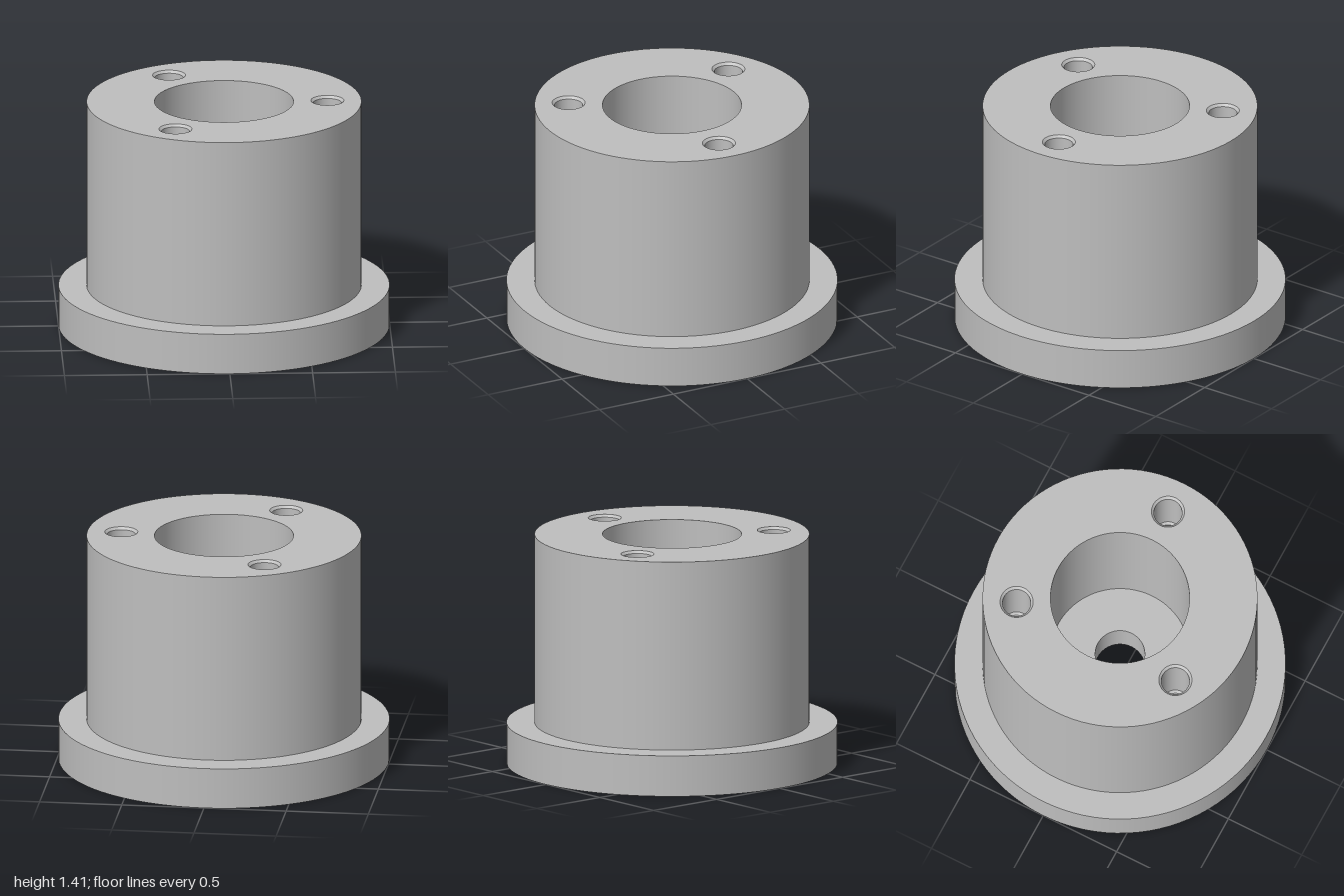
import * as THREE from 'three';
import { mergeGeometries } from 'three/addons/utils/BufferGeometryUtils.js';

const SEG = 96;
const H = 1.41, FLANGE_H = 0.25, FLANGE_R = 1, BODY_R = 0.83, BORE_R = 0.42, RECESS_R = 0.33;
const BOLT_R = 0.625;

// Revolved profile with a hard edge at every point
function turned(points) {
  const bands = points.slice(1).map((p, i) => new THREE.LatheGeometry(
    [new THREE.Vector2(...points[i]), new THREE.Vector2(...p)], SEG));
  return mergeGeometries(bands);
}

// Flat disc pierced by circular holes given as [x, z, radius]
function piercedDisc(radius, holes, y, facing) {
  const shape = new THREE.Shape().absarc(0, 0, radius, 0, Math.PI * 2, false);
  for (const [x, z, r] of holes) {
    shape.holes.push(new THREE.Path().absarc(x, -z * facing, r, 0, Math.PI * 2, true));
  }
  return new THREE.ShapeGeometry(shape, SEG / 2)
    .rotateX(-facing * Math.PI / 2)
    .translate(0, y, 0);
}

// Evenly spaced centres on the bolt circle
function boltCircle(count, startDegrees) {
  return Array.from({ length: count }, (_, i) => {
    const a = THREE.MathUtils.degToRad(startDegrees + i * 360 / count);
    return [BOLT_R * Math.cos(a), BOLT_R * Math.sin(a)];
  });
}

export function createModel() {
  const group = new THREE.Group();
  const steel = new THREE.MeshStandardMaterial({ color: 0xbebebe });
  steel.name = 'steel grey';

  function add(name, geometry, x = 0, z = 0) {
    const mesh = new THREE.Mesh(geometry, steel);
    mesh.name = name;
    mesh.position.set(x, 0, z);
    group.add(mesh);
  }

  // Outer walls
  add('flange', turned([[FLANGE_R, 0], [FLANGE_R, FLANGE_H], [BODY_R, FLANGE_H]]));
  add('body', turned([[BODY_R, FLANGE_H], [BODY_R, H]]));

  // Wide bore, narrow through hole and stepped recess underneath
  add('centreBore', turned([
    [BORE_R, H], [BORE_R, 0.42], [0.15, 0.42], [0.15, 0.18],
    [0.29, 0.18], [0.29, 0.03], [RECESS_R, 0.03], [RECESS_R, 0],
  ]));

  // Pierced end faces
  const topHoles = boltCircle(3, 0);
  const bottomHoles = boltCircle(6, 30);
  add('topFace', piercedDisc(BODY_R,
    [[0, 0, BORE_R], ...topHoles.map(([x, z]) => [x, z, 0.1])], H, 1));
  add('bottomFace', piercedDisc(FLANGE_R,
    [[0, 0, RECESS_R], ...bottomHoles.map(([x, z]) => [x, z, 0.115])], 0, -1));

  // Blind chamfered holes
  const topHole = turned([[0.1, H], [0.085, H - 0.015], [0.085, 1.0], [0.07, 0.985], [0, 0.985]]);
  const bottomHole = turned([[0, 0.4], [0.1, 0.4], [0.1, 0.015], [0.115, 0]]);
  topHoles.forEach(([x, z], i) => add(`topHole${i + 1}`, topHole, x, z));
  bottomHoles.forEach(([x, z], i) => add(`bottomHole${i + 1}`, bottomHole, x, z));

  return group;
}
